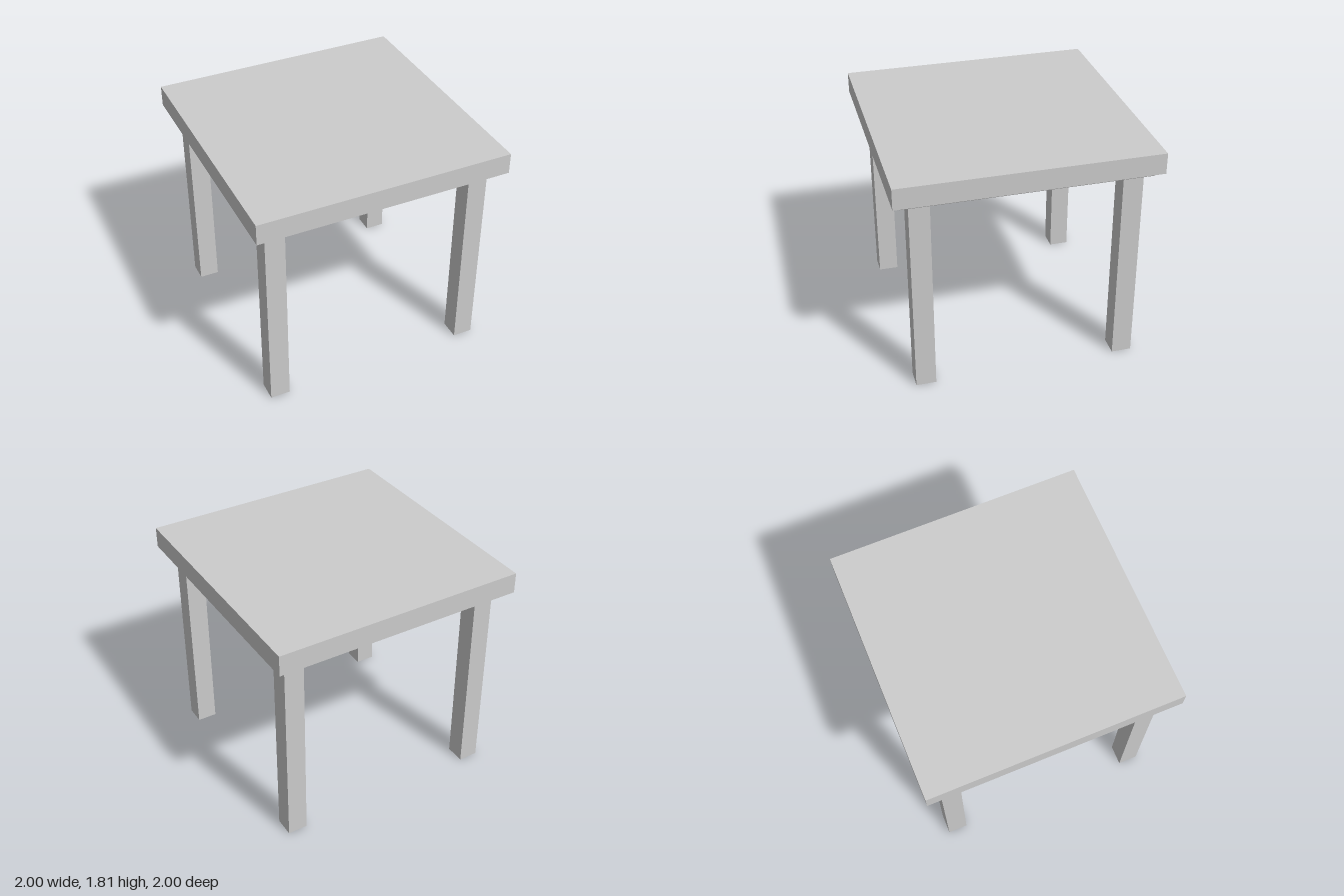
import * as THREE from 'three';

export function createModel() {
  const table = new THREE.Group();
  table.name = 'table';
  const material = new THREE.MeshStandardMaterial({ color: 0xcccccc, flatShading: true });

  const add = (name, geometry, x, y, z) => {
    const mesh = new THREE.Mesh(geometry, material);
    mesh.name = name;
    mesh.position.set(x, y, z);
    table.add(mesh);
  };

  const underside = 1.603, slabBottom = 1.642, top = 1.807;

  // Thick square slab
  add('tableTop', new THREE.BoxGeometry(2, top - slabBottom, 2), 0, (top + slabBottom) / 2, 0);

  // Shallow tapered plate under the slab: a four-sided frustum turned square to the axes
  const plate = new THREE.CylinderGeometry(
    0.962 * Math.SQRT2, 0.941 * Math.SQRT2, slabBottom - underside, 4
  ).rotateY(Math.PI / 4);
  add('bevelledUnderplate', plate, 0, (slabBottom + underside) / 2, 0);

  // Four square legs
  const leg = new THREE.BoxGeometry(0.156, underside, 0.156);
  for (const [side, x] of [['Left', 0.819], ['Right', -0.819]]) {
    for (const [end, z] of [['front', 0.798], ['back', -0.795]]) {
      add(`${end}${side}Leg`, leg, x, underside / 2, z);
    }
  }
  return table;
}
